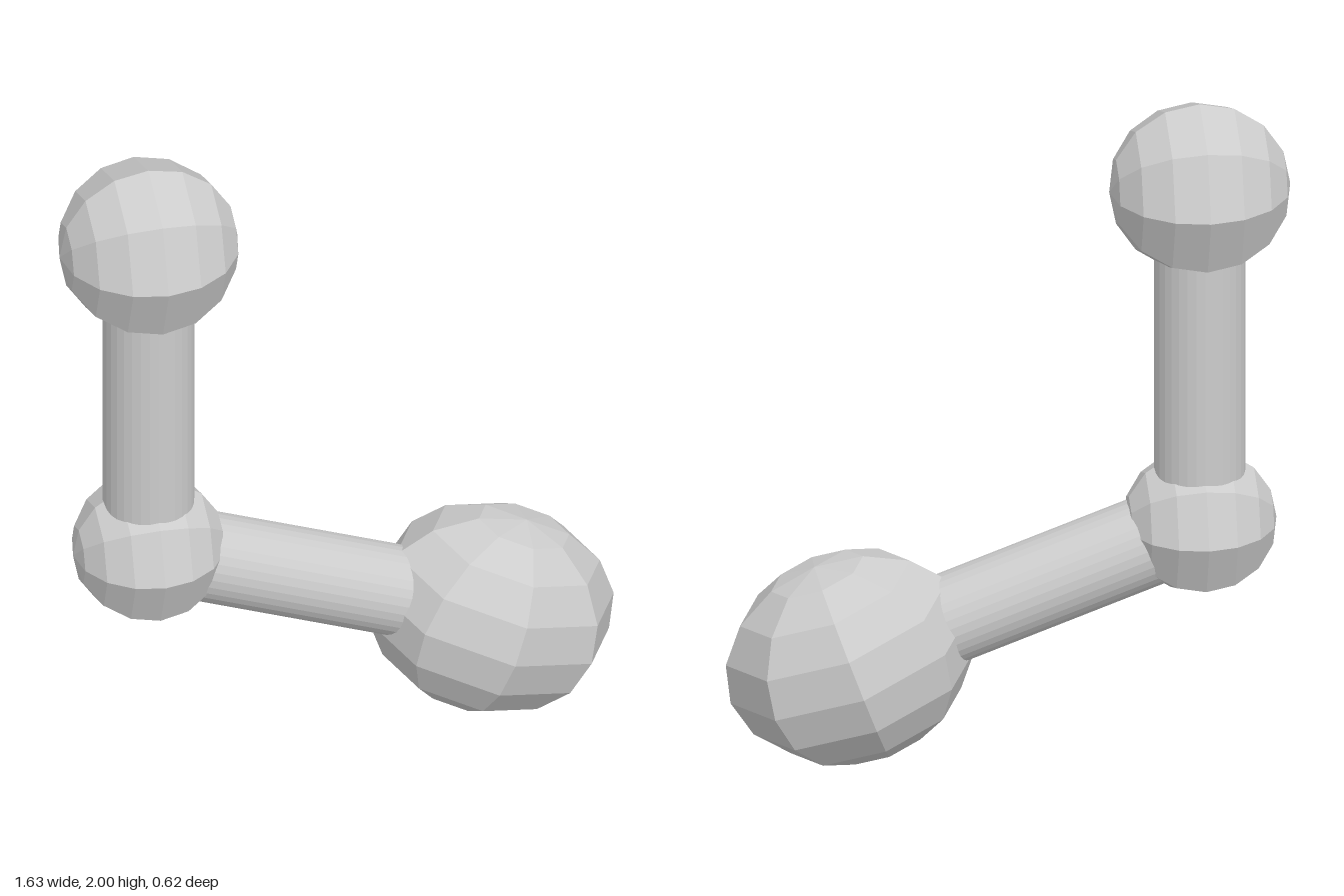
import * as THREE from 'three';

export function createModel() {
  const model = new THREE.Group();
  const material = new THREE.MeshStandardMaterial({ color: 0xcccccc, flatShading: true });
  const tilt = THREE.MathUtils.degToRad(-20);

  const top = new THREE.Vector3(-0.555, 1.738, 0);
  const joint = new THREE.Vector3(-0.555, 0.69, 0);
  const end = new THREE.Vector3(0.455, 0.316, 0);

  // Faceted ball, its poles turned about z
  function ball(name, centre, radius, turn, stretch = 1) {
    const mesh = new THREE.Mesh(new THREE.SphereGeometry(radius, 8, 8), material);
    mesh.name = name;
    mesh.position.copy(centre);
    mesh.rotation.z = turn;
    mesh.scale.x = stretch;
    model.add(mesh);
  }

  // Round rod running between two ball centres
  function rod(name, from, to) {
    const along = to.clone().sub(from);
    const mesh = new THREE.Mesh(new THREE.CylinderGeometry(0.132, 0.132, along.length(), 32), material);
    mesh.name = name;
    mesh.position.copy(from).add(to).multiplyScalar(0.5);
    mesh.quaternion.setFromUnitVectors(new THREE.Vector3(0, 1, 0), along.normalize());
    model.add(mesh);
  }

  // Upright arm
  ball('topBall', top, 0.262, Math.PI / 2);
  rod('uprightRod', joint, top);
  ball('jointBall', joint, 0.222, Math.PI / 2);

  // Sloping arm with a ball stretched along the rod
  rod('slopingRod', joint, end);
  ball('endBall', end, 0.308, tilt, 1.2);

  return model;
}
